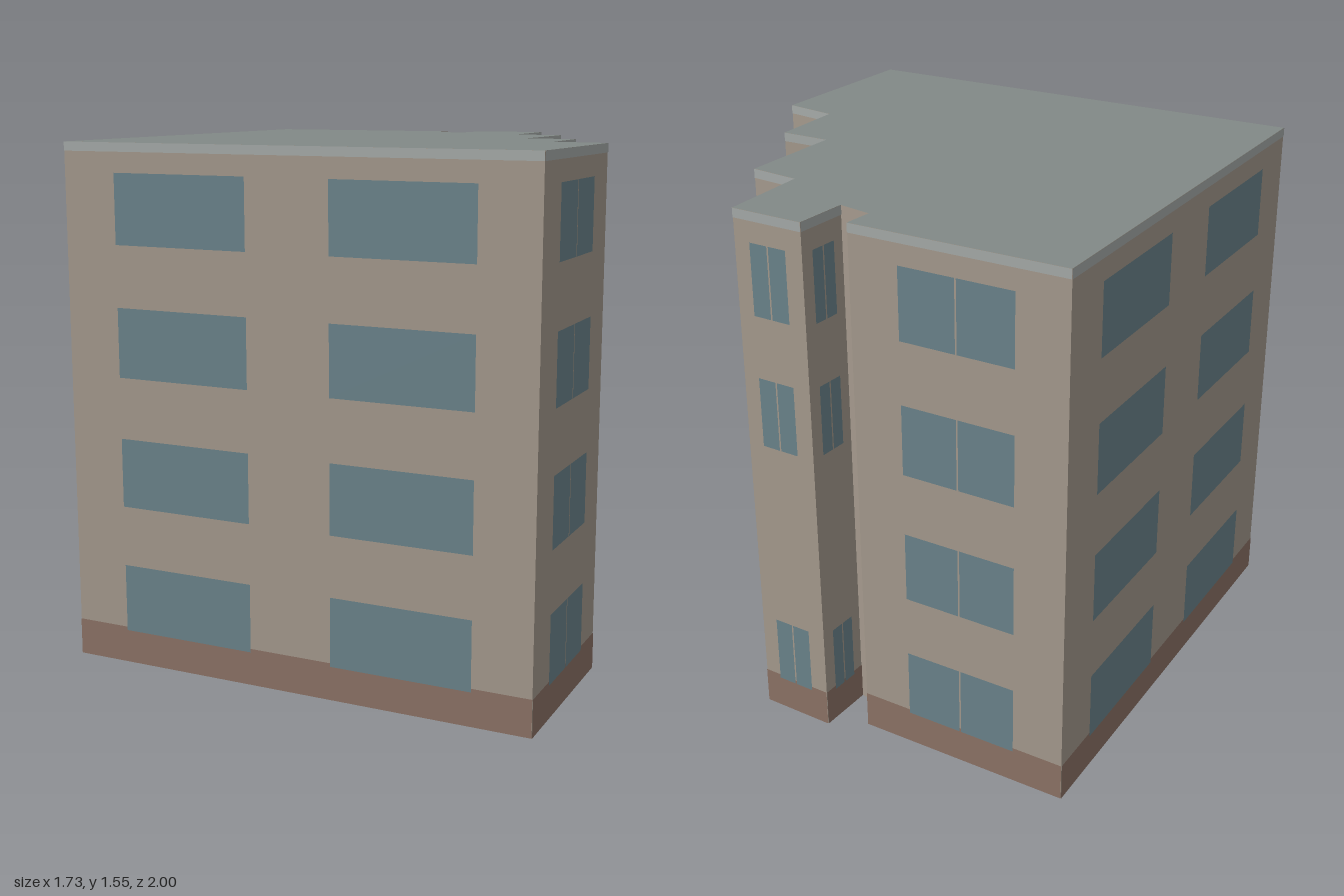
import * as THREE from 'three';

const mat = (color, side = THREE.FrontSide) => new THREE.MeshStandardMaterial({ color, side });

// Footprint corners [x, z], counter-clockwise from above. Each entry describes the wall
// running to the next corner: window layout, and storeys left without windows.
const CORNERS = [
  { p: [-0.865, -0.22], win: 'wide' },
  { p: [-0.08, 1.0], win: 'pair' },
  { p: [0.386, 0.69], win: 'pair', skip: 1 },
  { p: [0.317, 0.537], win: 'pair' },
  { p: [0.512, 0.395], win: 'pair', skip: 1 },
  { p: [0.427, 0.267], win: 'pair' },
  { p: [0.708, 0.08], win: 'pair', skip: 1 },
  { p: [0.638, -0.057], win: 'pair' },
  { p: [0.865, -0.222], win: 'pair', skip: 1 },
  { p: [0.747, -0.41], win: 'pair', skip: 1 },
  { p: [0.606, -0.325], plain: true },
  { p: [0.566, -0.42], plain: true },
  { p: [0.642, -0.463], win: 'pair' },
  { p: [0.29, -1.0], win: 'wide' },
];
const HEIGHT = 1.548, BASE = 0.11, TRIM = 1.522;
const STOREYS = [[0.1, 0.304], [0.484, 0.69], [0.872, 1.077], [1.258, 1.463]];

export function createModel() {
  const model = new THREE.Group();
  const wallMat = mat(0xa89d90, THREE.DoubleSide), roofMat = mat(0x828a87, THREE.DoubleSide);
  const baseMat = mat(0x8f7568), glassMat = mat(0x6d868e), trimMat = mat(0xa9aeac);

  // Upright panel covering part s0..s1 (in units along the wall) and y0..y1
  function panel(parent, name, a, b, s0, s1, y0, y1, offset, material) {
    const dx = b[0] - a[0], dz = b[1] - a[1], len = Math.hypot(dx, dz);
    const t = (s0 + s1) / 2 / len;
    const mesh = new THREE.Mesh(new THREE.PlaneGeometry(s1 - s0, y1 - y0), material);
    mesh.name = name;
    mesh.position.set(
      a[0] + dx * t - (dz / len) * offset,
      (y0 + y1) / 2,
      a[1] + dz * t + (dx / len) * offset);
    mesh.rotation.y = Math.atan2(-dz, dx);
    parent.add(mesh);
  }

  CORNERS.forEach(({ p: a, win, skip, plain }, i) => {
    const b = CORNERS[(i + 1) % CORNERS.length].p;
    const len = Math.hypot(b[0] - a[0], b[1] - a[1]);
    const side = new THREE.Group();
    side.name = `facade${i + 1}`;
    model.add(side);

    // Recess walls are bare; the others carry a plinth and a roof edge band
    panel(side, 'wall', a, b, 0, len, 0, HEIGHT, 0, wallMat);
    if (plain) return;
    panel(side, 'plinth', a, b, 0, len, 0, BASE, 0.0015, baseMat);
    panel(side, 'roofEdge', a, b, 0, len, TRIM, HEIGHT, 0.0015, trimMat);

    // Two wide windows, or one window of two panes with a thin gap
    const gap = 0.0025;
    const panes = win === 'wide'
      ? [[0.117 * len, 0.41 * len], [0.587 * len, 0.88 * len]]
      : [[0.235 * len, 0.5 * len - gap], [0.5 * len + gap, 0.765 * len]];
    STOREYS.forEach(([y0, y1], storey) => {
      if (storey === skip) return;
      for (const [s0, s1] of panes) panel(side, 'windowPane', a, b, s0, s1, y0, y1, 0.003, glassMat);
    });
  });

  // Flat roof over the footprint; the shell is open underneath
  const outline = new THREE.Shape(CORNERS.map(({ p }) => new THREE.Vector2(p[0], -p[1])));
  const roof = new THREE.Mesh(new THREE.ShapeGeometry(outline).rotateX(-Math.PI / 2), roofMat);
  roof.name = 'roof';
  roof.position.y = HEIGHT;
  model.add(roof);

  return model;
}
